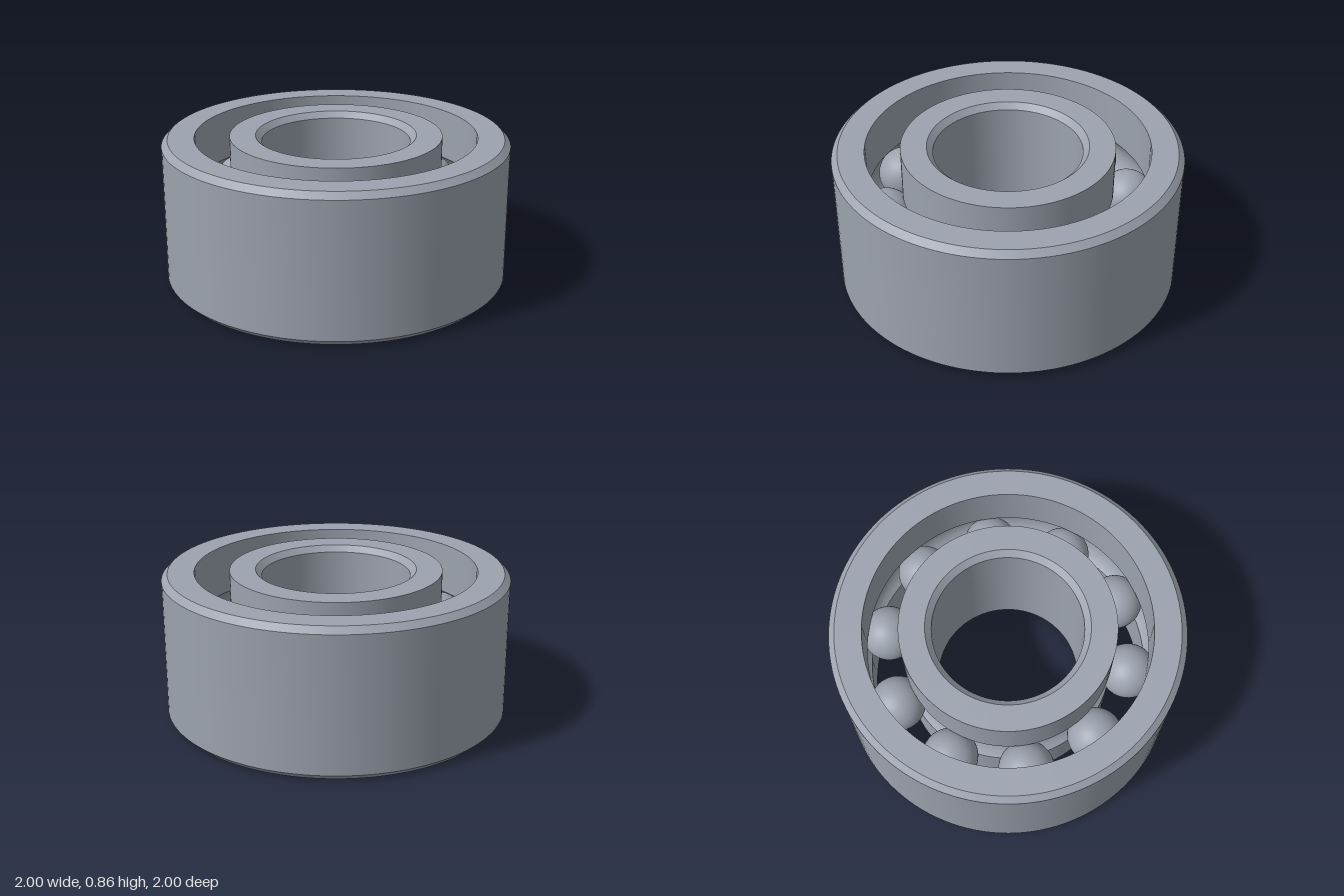
import * as THREE from 'three';
import { toCreasedNormals } from 'three/addons/utils/BufferGeometryUtils.js';

const HEIGHT = 0.857, CHAMFER = 0.035;
const OUTER = 1, OUTER_HOLE = 0.813;   // outer ring radii
const INNER = 0.612, BORE = 0.428;     // inner ring radii
const PITCH = 0.7125, BALL = 0.16, GROOVE = 0.163, BALLS = 10;

// Ball groove as an arc; side +1 cuts the outer ring (downwards), -1 the inner ring (upwards)
function groove(side, wall) {
  const half = Math.acos(Math.abs(wall - PITCH) / GROOVE);
  const points = [];
  for (let i = 0; i <= 14; i++) {
    const t = side * half * (1 - i / 7);
    points.push([PITCH + side * GROOVE * Math.cos(t), HEIGHT / 2 + GROOVE * Math.sin(t)]);
  }
  return points;
}

// Revolves a closed profile, keeping its corners sharp
function ring(name, profile, material) {
  const points = [...profile, profile[0]].map(([r, y]) => new THREE.Vector2(r, y));
  const mesh = new THREE.Mesh(toCreasedNormals(new THREE.LatheGeometry(points, 128), 0.5), material);
  mesh.name = name;
  return mesh;
}

export function createModel() {
  const steel = new THREE.MeshStandardMaterial({ color: 0x9ca3af });
  steel.name = 'steel';

  const bearing = new THREE.Group();
  bearing.name = 'ballBearing';

  // Outer ring, chamfered on the outside
  bearing.add(ring('outerRing', [
    [OUTER, CHAMFER], [OUTER, HEIGHT - CHAMFER], [OUTER - CHAMFER, HEIGHT],
    [OUTER_HOLE, HEIGHT], ...groove(1, OUTER_HOLE), [OUTER_HOLE, 0], [OUTER - CHAMFER, 0],
  ], steel));

  // Inner ring, chamfered at the bore
  bearing.add(ring('innerRing', [
    [INNER, 0], ...groove(-1, INNER), [INNER, HEIGHT], [BORE + CHAMFER, HEIGHT],
    [BORE, HEIGHT - CHAMFER], [BORE, CHAMFER], [BORE + CHAMFER, 0],
  ], steel));

  // Balls spaced evenly in the groove
  const balls = new THREE.Group();
  balls.name = 'balls';
  const sphere = new THREE.SphereGeometry(BALL, 40, 24);
  for (let i = 0; i < BALLS; i++) {
    const a = THREE.MathUtils.degToRad(-6 + i * 360 / BALLS);
    const ball = new THREE.Mesh(sphere, steel);
    ball.name = 'ball' + (i + 1);
    ball.position.set(PITCH * Math.sin(a), HEIGHT / 2, -PITCH * Math.cos(a));
    balls.add(ball);
  }
  bearing.add(balls);
  return bearing;
}
